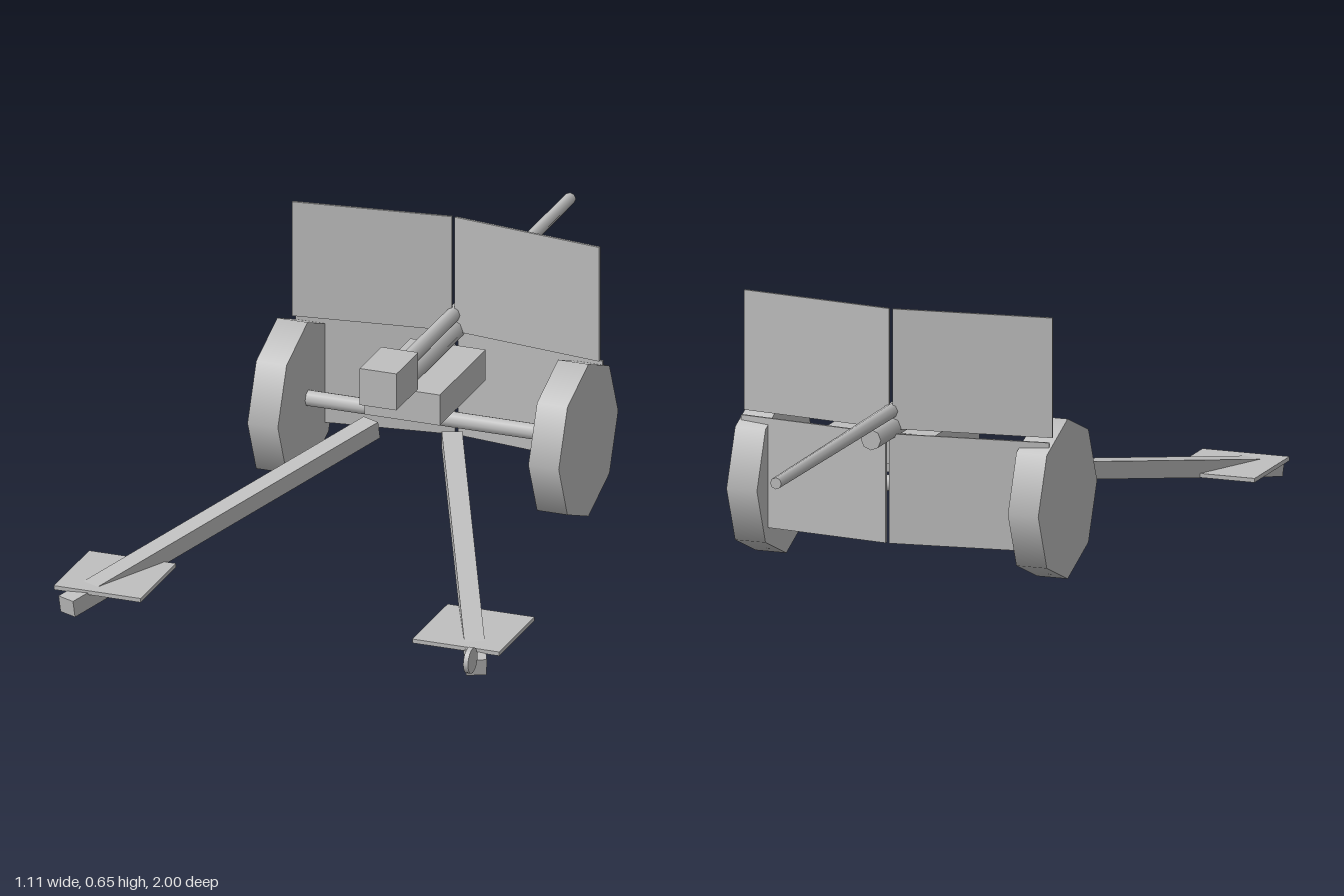
import * as THREE from 'three';

export function createModel() {
  const model = new THREE.Group();
  const grey = new THREE.MeshStandardMaterial({ color: 0xbfbfbf });
  grey.name = 'plain grey';

  const add = (name, geometry, x, y, z) => {
    const mesh = new THREE.Mesh(geometry, grey);
    mesh.name = name;
    mesh.position.set(x, y, z);
    model.add(mesh);
    return mesh;
  };
  const box = (name, w, h, d, x, y, z) => add(name, new THREE.BoxGeometry(w, h, d), x, y, z);
  // Cylinder lying along x
  const disc = (name, r, width, sides, x, y, z) =>
    add(name, new THREE.CylinderGeometry(r, r, width, sides).rotateZ(Math.PI / 2), x, y, z);
  // Cylinder lying along z, between a back and a muzzle end
  const tube = (name, rBack, rMuzzle, sides, y, zBack, zMuzzle) =>
    add(name, new THREE.CylinderGeometry(rMuzzle, rBack, zBack - zMuzzle, sides).rotateX(-Math.PI / 2),
      0, y, (zBack + zMuzzle) / 2);

  // Gun
  tube('barrel', 0.019, 0.014, 8, 0.402, 0.11, -1);
  tube('recoilCylinder', 0.025, 0.025, 8, 0.363, 0.07, -0.38);
  box('breech', 0.092, 0.092, 0.14, 0, 0.401, 0.17);
  box('carriageBlock', 0.188, 0.077, 0.295, 0, 0.302, -0.063);

  // Running gear
  disc('axle', 0.02, 0.64, 8, 0, 0.194, -0.117);
  for (const s of [1, -1]) {
    disc('wheel', 0.192, 0.076, 8, s * 0.351, 0.194, -0.113);

    // Shield halves, swept back from the middle
    for (const [name, y0, y1, zMid] of [['upperShield', 0.36, 0.648, -0.248], ['lowerShield', 0.09, 0.353, -0.269]]) {
      const dx = 0.38, dz = 0.05;
      const plate = box(name, Math.hypot(dx, dz), y1 - y0, 0.006,
        s * (0.004 + dx / 2), (y0 + y1) / 2, zMid + dz / 2);
      plate.rotation.y = -s * Math.atan2(dz, dx);
    }

    // Split trail with its ground plate
    const start = new THREE.Vector3(s * 0.1, 0.206, 0.022);
    const end = new THREE.Vector3(s * 0.512, 0.043, 0.927);
    const mid = start.clone().add(end).multiplyScalar(0.5);
    const trail = box('trail', 0.048, 0.042, start.distanceTo(end), mid.x, mid.y, mid.z);
    trail.lookAt(end);
    box('groundPlate', 0.217, 0.01, 0.228, s * 0.448, 0.072, 0.782);
  }

  // Small caster on one trail only
  disc('trailCaster', 0.031, 0.012, 16, 0.513, 0.078, 0.969);

  return model;
}
